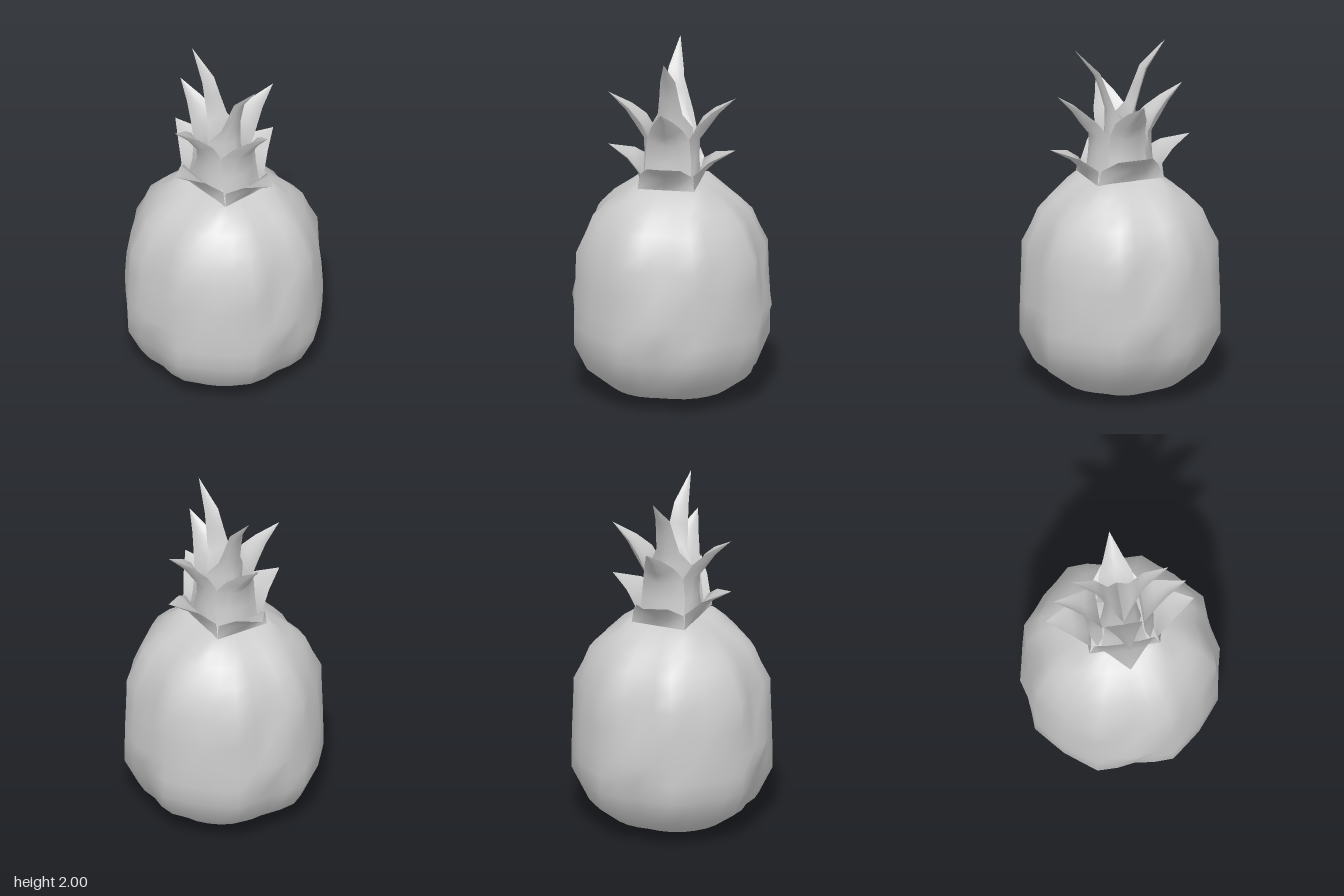
import * as THREE from 'three';

const skin = new THREE.MeshStandardMaterial({ color: 0xcccccc });
const leafSkin = new THREE.MeshStandardMaterial({ color: 0xcccccc, side: THREE.DoubleSide });

// Surface through a grid of rows of points (outward when columns run +x to +z, rows upward)
function gridGeometry(rows, closed) {
  const n = rows[0].length, index = [];
  for (let r = 0; r < rows.length - 1; r++) {
    for (let c = 0; c < (closed ? n : n - 1); c++) {
      const a = r * n + c, b = r * n + (c + 1) % n;
      index.push(a, a + n, b, b, a + n, b + n);
    }
  }
  const geometry = new THREE.BufferGeometry();
  geometry.setAttribute('position', new THREE.Float32BufferAttribute(rows.flat(2), 3));
  geometry.setIndex(index);
  geometry.computeVertexNormals();
  return geometry;
}

// Fruit rings: height, then radius at 0, 11, 22.5, 34 and 45 degrees from an axis
const BODY = [
  [0.03, 0.001, 0.001, 0.001, 0.001, 0.001],
  [0.0, 0.19, 0.19, 0.195, 0.2, 0.2],
  [0.06, 0.325, 0.335, 0.345, 0.35, 0.35],
  [0.16, 0.45, 0.47, 0.485, 0.475, 0.47],
  [0.31, 0.505, 0.53, 0.56, 0.54, 0.54],
  [0.42, 0.53, 0.54, 0.56, 0.545, 0.55],
  [0.54, 0.565, 0.55, 0.558, 0.545, 0.555],
  [0.70, 0.515, 0.53, 0.552, 0.535, 0.545],
  [0.85, 0.485, 0.52, 0.548, 0.52, 0.52],
  [0.95, 0.45, 0.475, 0.497, 0.48, 0.48],
  [1.04, 0.415, 0.44, 0.46, 0.445, 0.44],
  [1.12, 0.345, 0.36, 0.38, 0.375, 0.375],
  [1.18, 0.275, 0.285, 0.295, 0.305, 0.32],
  [1.24, 0.18, 0.188, 0.205, 0.225, 0.252],
  [1.27, 0.001, 0.001, 0.001, 0.001, 0.001],
];

function makeBody() {
  const rows = BODY.map(([y, ...radii], ring) => Array.from({ length: 32 }, (_, i) => {
    const a = i * Math.PI / 16, k = i % 8, r = radii[Math.min(k, 8 - k)];
    // The base has a shallow trough running from side to side
    const lift = ring === 1 ? 0.02 * Math.cos(a) ** 2 : 0;
    return [r * Math.cos(a), y + lift, r * Math.sin(a)];
  }));
  const body = new THREE.Mesh(gridGeometry(rows, true), skin);
  body.name = 'fruitBody';
  return body;
}

// Cupped leaf pointing along +x; each row: distance out, height, half width, cup, edge rise, thickness
function makeLeaf(name, profile, angle) {
  const leaf = new THREE.Group();
  leaf.name = name;
  for (const [face, inward] of [['outerLeafFace', 0], ['innerLeafFace', 1]]) {
    const rows = profile.map(([out, y, half, cup, rise, depth]) =>
      [-1, -0.5, 0, 0.5, 1].map((t) => {
        const inset = inward * depth * (1 - t * t);
        return [out - cup * t * t - inset, y + rise * t * t + inset * 0.3, half * t];
      }));
    const mesh = new THREE.Mesh(gridGeometry(rows, false), leafSkin);
    mesh.name = face;
    leaf.add(mesh);
  }
  leaf.rotation.y = angle;
  return leaf;
}

const LOWER_SIDE = [
  [0.2, 1.24, 0.16, 0, 0, 0.03], [0.235, 1.30, 0.15, 0.045, 0.02, 0.03],
  [0.3, 1.36, 0.095, 0.02, 0.025, 0.03], [0.42, 1.43, 0, 0, 0, 0]];
const LOWER_FRONT = [
  [0.16, 1.24, 0.2, 0, 0, 0.03], [0.19, 1.30, 0.17, 0.04, 0.02, 0.03],
  [0.25, 1.36, 0.105, 0.02, 0.025, 0.03], [0.36, 1.43, 0, 0, 0, 0]];
const MIDDLE_SIDE = [
  [0.19, 1.26, 0.13, 0.04, 0, 0.06], [0.18, 1.38, 0.13, 0.06, 0, 0.06],
  [0.18, 1.49, 0.12, 0.06, 0.02, 0.05], [0.235, 1.56, 0.09, 0.055, 0.03, 0.035],
  [0.29, 1.64, 0.05, 0.03, 0.02, 0.02], [0.375, 1.735, 0, 0, 0, 0]];
const MIDDLE_FRONT = [
  [0.16, 1.26, 0.13, 0.03, 0, 0.05], [0.155, 1.38, 0.11, 0.05, 0, 0.05],
  [0.16, 1.49, 0.105, 0.045, 0.02, 0.045], [0.21, 1.56, 0.095, 0.05, 0.03, 0.035],
  [0.265, 1.64, 0.055, 0.03, 0.02, 0.02], [0.36, 1.735, 0, 0, 0, 0]];
// The two upper leaves meet along x = 0 up to the crotch between them
const UPPER = [
  [0.12, 1.28, 0.12, 0.12, 0, 0.12], [0.1, 1.45, 0.12, 0.1, 0, 0.1],
  [0.09, 1.55, 0.12, 0.09, 0, 0.09], [0.088, 1.63, 0.07, 0.03, 0.01, 0.03],
  [0.12, 1.74, 0.055, 0.022, 0.01, 0.02], [0.158, 1.84, 0.043, 0.022, 0.015, 0.018],
  [0.275, 2.0, 0, 0, 0, 0]];

export function createModel() {
  const model = new THREE.Group();
  model.name = 'pineapple';
  model.add(makeBody());

  // Crown: four-leaf lower and middle tiers, two tall upper leaves
  const crown = new THREE.Group();
  crown.name = 'crown';
  for (let i = 0; i < 4; i++) {
    const angle = i * Math.PI / 2, across = i % 2 === 0;
    crown.add(makeLeaf('lowerLeaf', across ? LOWER_SIDE : LOWER_FRONT, angle));
    crown.add(makeLeaf('middleLeaf', across ? MIDDLE_SIDE : MIDDLE_FRONT, angle));
    if (across) crown.add(makeLeaf('upperLeaf', UPPER, angle));
  }
  model.add(crown);
  return model;
}
